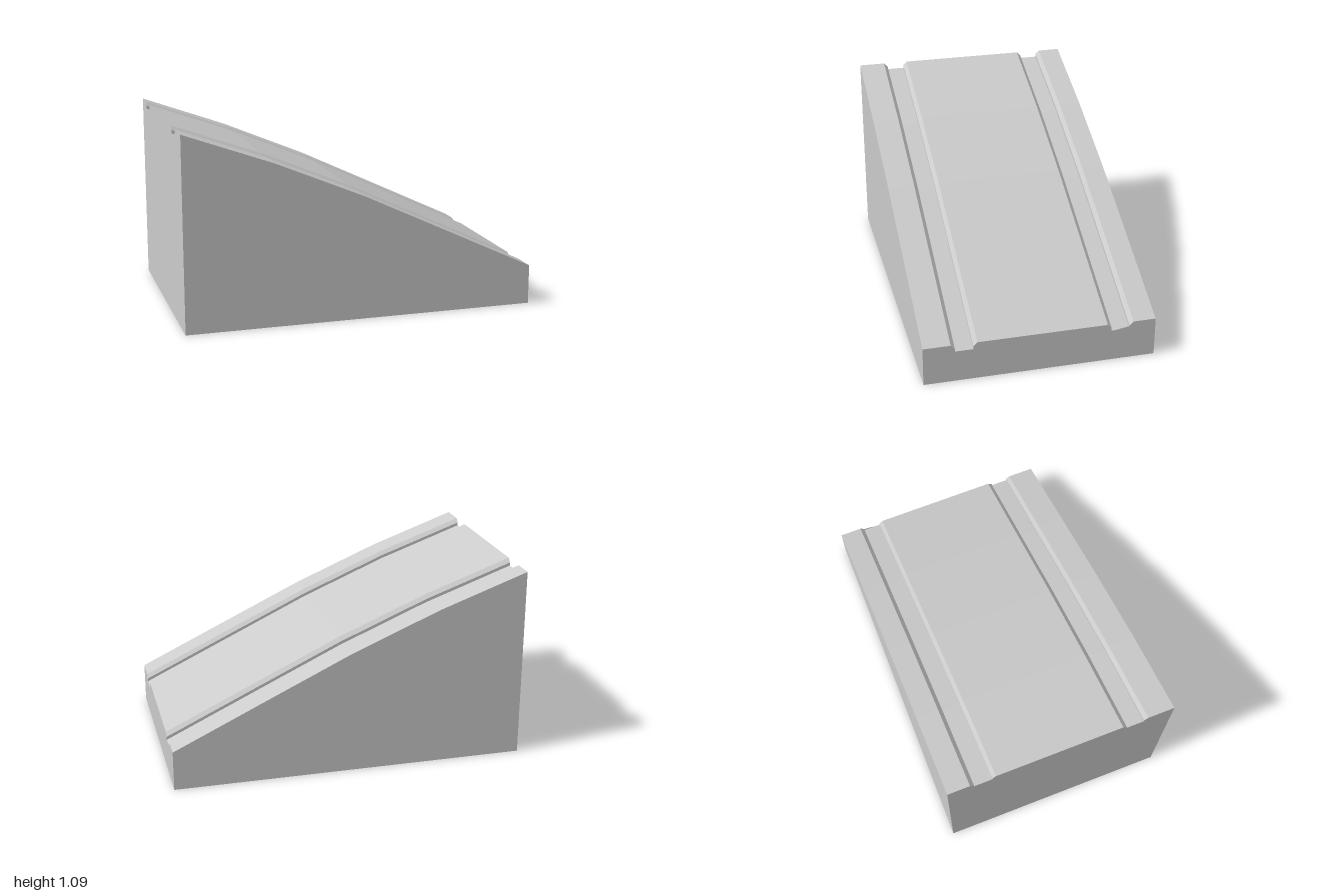
import * as THREE from 'three';

// Height of the running surface at stations spaced evenly from x = -1 to x = 1
const HEIGHTS = [1.09, 0.91, 0.70, 0.463, 0.225];
const STEPS = HEIGHTS.length - 1;
const HALF_WIDTH = 0.65;
const GROOVE_DEPTH = 0.04;
const CHAMFER = 0.022;

// Cross-section across the ramp, with the surface at a nominal height of 1
function crossSection() {
  const pts = [[-HALF_WIDTH, 0], [HALF_WIDTH, 0], [HALF_WIDTH, 1]];
  // Outer edges of each groove along -z
  for (const [a, b] of [[0.522, 0.375], [-0.353, -0.498]]) {
    pts.push(
      [a, 1], [a - CHAMFER, 1 - CHAMFER], [a - CHAMFER, 1 - GROOVE_DEPTH],
      [b + CHAMFER, 1 - GROOVE_DEPTH], [b + CHAMFER, 1 - CHAMFER], [b, 1]
    );
  }
  pts.push([-HALF_WIDTH, 1]);
  return new THREE.Shape(pts.map(([u, v]) => new THREE.Vector2(u, v)));
}

export function createModel() {
  const group = new THREE.Group();
  group.name = 'slopedTrack';

  const geometry = new THREE.ExtrudeGeometry(crossSection(), {
    depth: 2, steps: STEPS, bevelEnabled: false
  });
  geometry.translate(0, 0, -1);
  geometry.rotateY(Math.PI / 2);

  // Drop the grooved top onto the sloping profile, keeping the base flat
  const pos = geometry.attributes.position;
  for (let i = 0; i < pos.count; i++) {
    if (pos.getY(i) < 0.5) continue;
    const station = Math.round((pos.getX(i) + 1) / 2 * STEPS);
    pos.setY(i, pos.getY(i) - 1 + HEIGHTS[station]);
  }
  geometry.computeVertexNormals();

  const ramp = new THREE.Mesh(
    geometry,
    new THREE.MeshStandardMaterial({ color: 0xcccccc, flatShading: true })
  );
  ramp.name = 'groovedRamp';
  group.add(ramp);
  return group;
}
